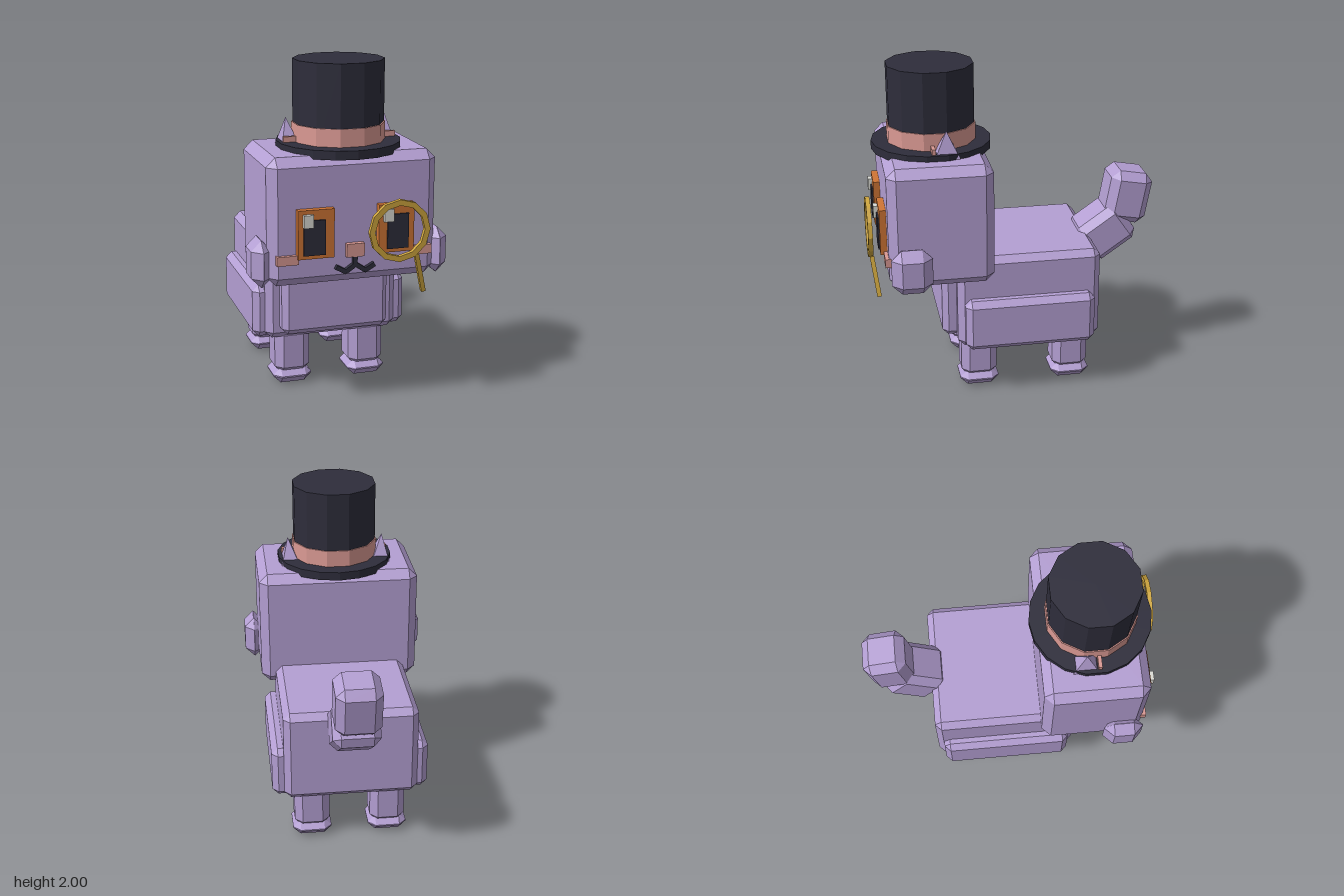
import * as THREE from 'three';
import { ConvexGeometry } from 'three/addons/geometries/ConvexGeometry.js';

const material = (name, color) => {
  const m = new THREE.MeshStandardMaterial({ color, flatShading: true });
  m.name = name;
  return m;
};

// Box with every edge and corner cut flat by c
function chamferBox(w, h, d, c) {
  const points = [];
  for (const x of [-1, 1]) for (const y of [-1, 1]) for (const z of [-1, 1]) {
    const [a, b, e] = [w / 2, h / 2, d / 2];
    points.push(
      new THREE.Vector3(x * a, y * (b - c), z * (e - c)),
      new THREE.Vector3(x * (a - c), y * b, z * (e - c)),
      new THREE.Vector3(x * (a - c), y * (b - c), z * e));
  }
  return new ConvexGeometry(points);
}

export function createModel() {
  const group = new THREE.Group();
  const fur = material('lilac fur', 0xb49fd3);
  const black = material('hat black', 0x2e2d3b);
  const pink = material('pink', 0xdb9a94);
  const orange = material('eye orange', 0xd07535);
  const gold = material('gold', 0xd0a73f);
  const white = material('highlight white', 0xdcdcd6);

  function add(name, geometry, mat, x = 0, y = 0, z = 0) {
    const mesh = new THREE.Mesh(geometry, mat);
    mesh.name = name;
    mesh.position.set(x, y, z);
    group.add(mesh);
    return mesh;
  }
  // Boxes given by their limits on each axis
  const block = (name, mat, [x0, x1], [y0, y1], [z0, z1], c = 0) => add(name,
    c ? chamferBox(x1 - x0, y1 - y0, z1 - z0, c) : new THREE.BoxGeometry(x1 - x0, y1 - y0, z1 - z0),
    mat, (x0 + x1) / 2, (y0 + y1) / 2, (z0 + z1) / 2);
  const span = (center, half) => [center - half, center + half];

  // Head, body and chest
  block('head', fur, [-0.496, 0.494], [0.77, 1.505], [0.16, 0.78], 0.053);
  block('body', fur, [-0.41, 0.406], [0.31, 0.895], [-0.5, 0.375], 0.04);
  block('chest', fur, [-0.33, 0.326], [0.355, 0.8], [0.1, 0.46], 0.035);

  // Paired parts
  for (const s of [-1, 1]) {
    const side = s > 0 ? 'left' : 'right';
    block(side + 'Flank', fur, span(s * 0.42, 0.058), [0.315, 0.637], [-0.457, 0.335], 0.037);
    block(side + 'CheekTuft', fur, span(s * 0.522, 0.06), [0.762, 1.037], [0.533, 0.773], 0.059);
    block(side + 'Blush', pink, span(s * 0.393, 0.063), [0.907, 0.96], [0.76, 0.802]);

    for (const [end, z] of [['Front', 0.237], ['Back', -0.337]]) {
      block(side + end + 'Leg', fur, span(s * 0.235, 0.108), [0.06, 0.36], span(z, 0.11), 0.046);
      block(side + end + 'Paw', fur, span(s * 0.235, 0.12), [0, 0.1], span(z, 0.12), 0.046);
    }

    // Ear pyramid with a small pink inner piece
    const corners = [[0.34, 1.5, 0.335], [0.34, 1.5, 0.49], [0.225, 1.5, 0.335], [0.225, 1.5, 0.49], [0.297, 1.667, 0.413]];
    add(side + 'Ear', new ConvexGeometry(corners.map(([x, y, z]) => new THREE.Vector3(s * x, y, z))), fur);
    block(side + 'InnerEar', pink, span(s * 0.297, 0.037), [1.5, 1.57], [0.48, 0.502]);

    // Eye: iris, pupil and highlight
    block(side + 'Eye', orange, span(s * 0.235, 0.105), [0.94, 1.22], [0.76, 0.82]);
    const px = s > 0 ? 0.242 : -0.247;
    block(side + 'Pupil', black, span(px, 0.063), [0.962, 1.163], [0.8, 0.83]);
    block(side + 'EyeHighlight', white, span(s > 0 ? 0.183 : -0.284, 0.028), [1.124, 1.197], [0.8, 0.845]);

    // Mouth curls: inner stroke down, outer stroke up
    for (const [x, y, tilt] of [[0.028, 0.862, -0.6], [0.083, 0.856, 0.5]]) {
      const stroke = add(side + 'Mouth', new THREE.BoxGeometry(0.07, 0.026, 0.04), black, s * x, y, 0.786);
      stroke.rotation.z = s * tilt;
    }
  }

  // Nose and mouth stem
  block('nose', pink, [-0.054, 0.05], [0.928, 1.005], [0.76, 0.812]);
  block('mouthStem', black, span(-0.002, 0.013), [0.865, 0.928], [0.766, 0.806]);

  // Tail: two tilted blocks
  add('tailBase', chamferBox(0.283, 0.325, 0.27, 0.046), fur, 0, 0.873, -0.605).rotation.x = -0.96;
  add('tailTip', chamferBox(0.27, 0.33, 0.265, 0.05), fur, 0, 1.1, -0.745).rotation.x = -0.175;

  // Top hat
  const drum = (name, mat, r, y0, y1, sides, turn) =>
    add(name, new THREE.CylinderGeometry(r, r, y1 - y0, sides), mat, 0, (y0 + y1) / 2, 0.47).rotation.y = turn;
  drum('hatBrim', black, 0.36, 1.487, 1.538, 18, 0);
  drum('hatCrown', black, 0.262, 1.5, 2, 12, Math.PI / 12);
  drum('hatBand', pink, 0.269, 1.535, 1.64, 12, Math.PI / 12);

  // Monocle: twelve-sided ring and slanted handle
  const polygon = (r) => Array.from({ length: 12 }, (_, i) =>
    new THREE.Vector2(r * Math.cos(i * Math.PI / 6), r * Math.sin(i * Math.PI / 6)));
  const ring = new THREE.Shape(polygon(0.18));
  ring.holes.push(new THREE.Path(polygon(0.147).reverse()));
  add('monocleRing', new THREE.ExtrudeGeometry(ring, { depth: 0.027, bevelEnabled: false }), gold, 0.231, 1.08, 0.864);
  const top = new THREE.Vector3(0.335, 0.935, 0.872), end = new THREE.Vector3(0.394, 0.7, 0.841);
  const handle = add('monocleHandle', new THREE.BoxGeometry(0.026, top.distanceTo(end), 0.026), gold);
  handle.position.copy(top).add(end).multiplyScalar(0.5);
  handle.quaternion.setFromUnitVectors(new THREE.Vector3(0, 1, 0), top.clone().sub(end).normalize());

  return group;
}
